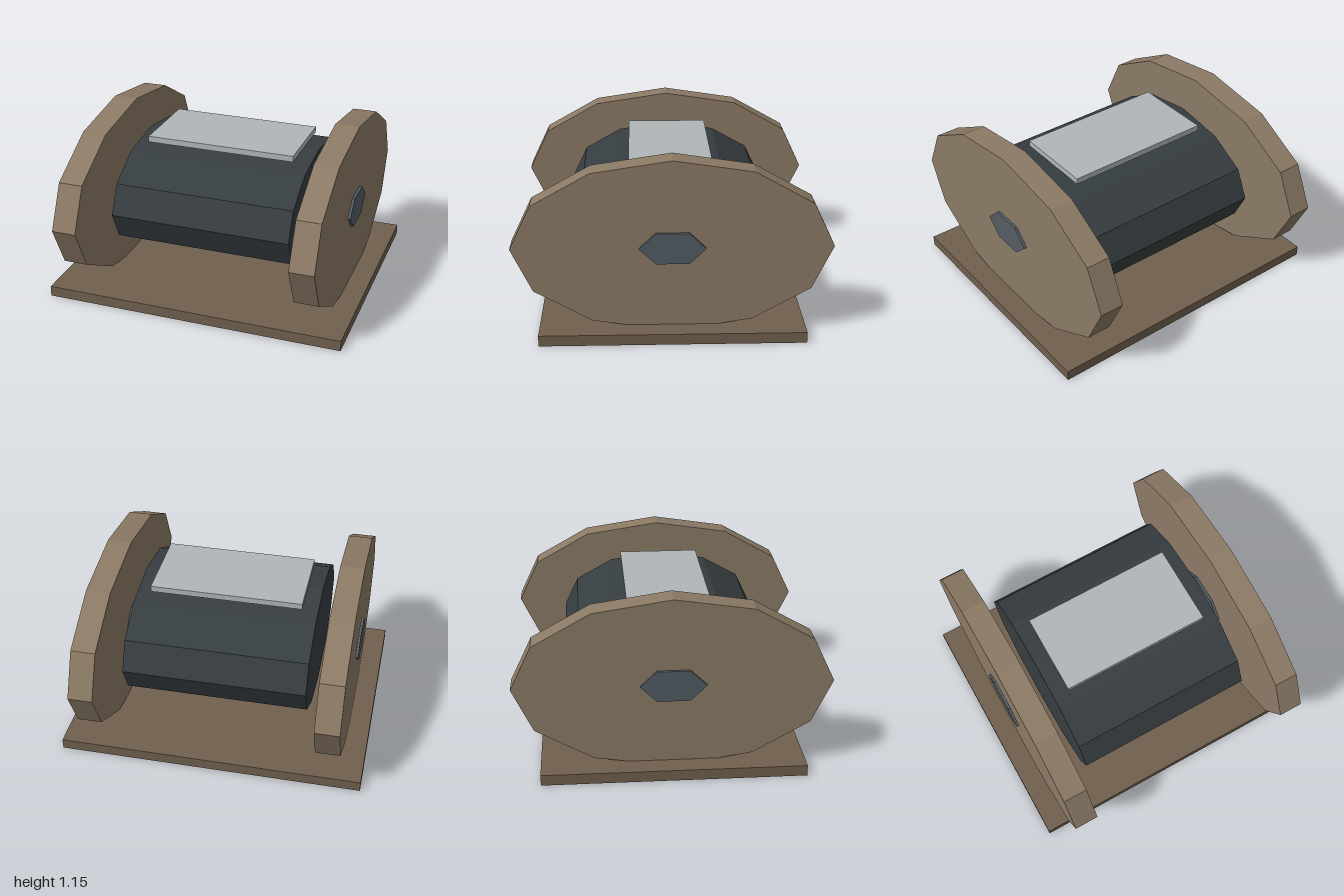
import * as THREE from 'three';

const AXLE_Y = 0.59;

function material(color) {
  return new THREE.MeshStandardMaterial({ color, flatShading: true });
}

const wheelWood = material(0x8b7a65);
const baseWood = material(0x6f5f4e);
const drumMetal = material(0x363d40);
const hubMetal = material(0x535d63);
const plateMetal = material(0xb0b5b8);

// Faceted oval prism lying along x, centred on the axle line
function ovalPrism(name, mat, sides, radiusY, radiusZ, width, x) {
  const geometry = new THREE.CylinderGeometry(1, 1, width, sides);
  geometry.rotateZ(Math.PI / 2);
  geometry.scale(1, radiusY, radiusZ);
  const mesh = new THREE.Mesh(geometry, mat);
  mesh.name = name;
  mesh.position.set(x, AXLE_Y, 0);
  return mesh;
}

// Box given by its size and the height of its underside
function slab(name, mat, width, height, depth, bottom) {
  const mesh = new THREE.Mesh(new THREE.BoxGeometry(width, height, depth), mat);
  mesh.name = name;
  mesh.position.y = bottom + height / 2;
  return mesh;
}

export function createModel() {
  const model = new THREE.Group();
  model.name = 'drumOnBase';

  // Base board, central drum and the plate resting on it
  model.add(slab('base', baseWood, 2, 0.07, 1.667, 0));
  model.add(ovalPrism('drum', drumMetal, 12, 0.375, 0.667, 1.2, 0));
  model.add(slab('topPlate', plateMetal, 1, 0.04, 0.535, 0.965));

  // End discs with hexagonal hubs passing through them
  for (const [side, sign] of [['left', 1], ['right', -1]]) {
    model.add(ovalPrism(side + 'Disc', wheelWood, 12, 0.5625, 1, 0.16, sign * 0.78));
    model.add(ovalPrism(side + 'Hub', hubMetal, 6, 0.116, 0.208, 0.195, sign * 0.78));
  }
  return model;
}
